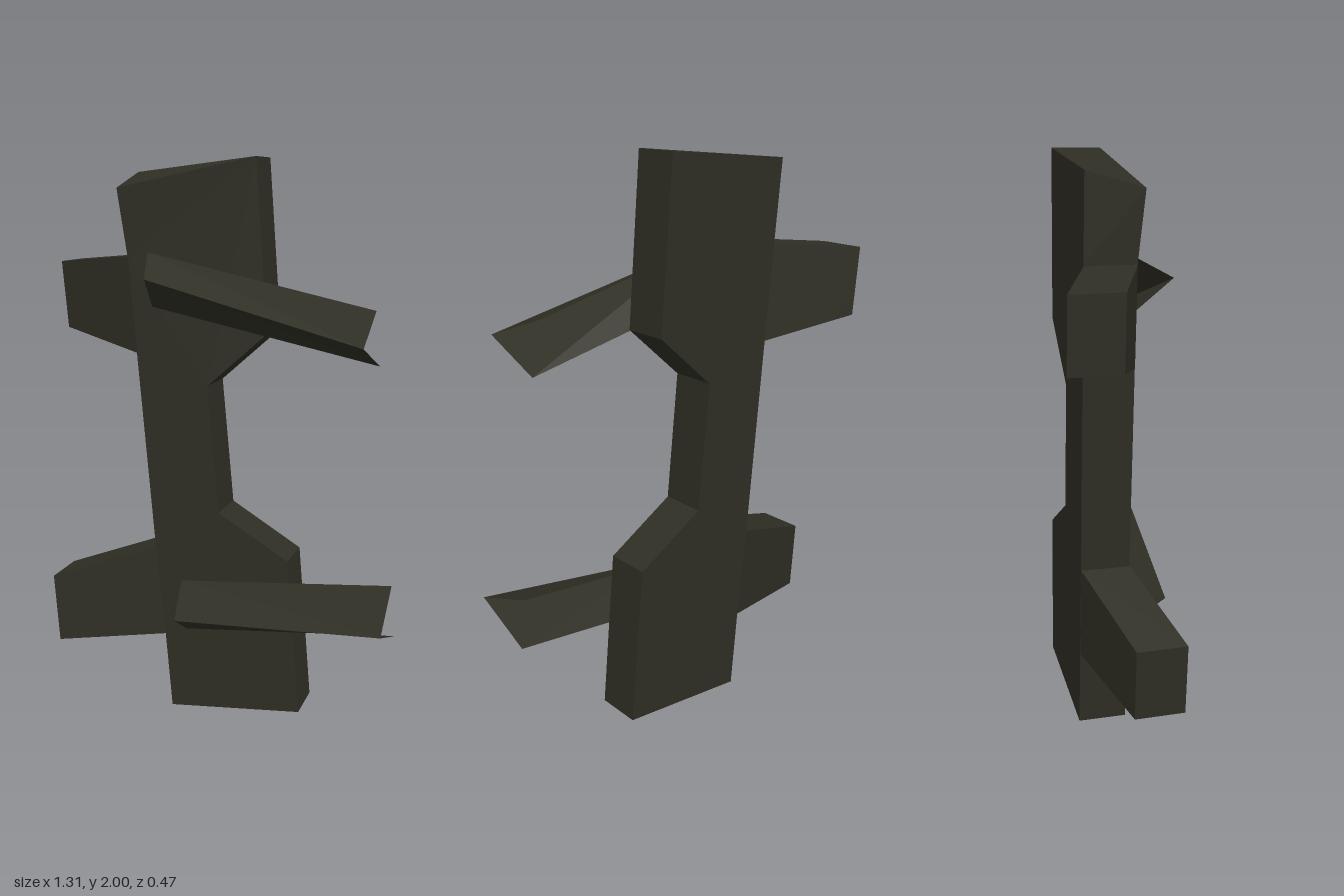
import * as THREE from 'three';

const darkOlive = new THREE.MeshStandardMaterial({ color: 0x2f2e24 });
darkOlive.name = 'darkOlive';
const darkOliveSheet = new THREE.MeshStandardMaterial({ color: 0x2f2e24, side: THREE.DoubleSide });
darkOliveSheet.name = 'darkOliveSheet';

// Front and back planes of the slightly turned plate
const across = (x, y) => x - (0.065 - 0.095 * y);
const frontZ = (x, y) => 0.017 - 0.07 * across(x, y);
const backZ = (x, y) => -0.15 - 0.06 * across(x, y);

function makeMesh(name, geometry, material = darkOlive) {
  geometry.computeVertexNormals();
  const mesh = new THREE.Mesh(geometry, material);
  mesh.name = name;
  return mesh;
}

// Upright plate with a narrow waist
function makeBody() {
  const outline = [
    [-0.18, 0.005], [0.305, 0.05], [0.255, 0.62], [0, 0.775], [-0.043, 1.23],
    [0.17, 1.42], [0.125, 2], [-0.36, 1.955], [-0.333, 1.67], [-0.303, 1.335],
    [-0.24, 0.625], [-0.205, 0.29],
  ].map(([x, y]) => new THREE.Vector2(x, y));
  const geometry = new THREE.ExtrudeGeometry(new THREE.Shape(outline), { depth: 1, bevelEnabled: false });
  const p = geometry.attributes.position;
  for (let i = 0; i < p.count; i++) {
    const x = p.getX(i), y = p.getY(i), front = p.getZ(i) > 0.5;
    // The top edge slopes forward at its right-hand corner
    const slopedCorner = front && x < -0.35 && y > 1.9;
    p.setXYZ(i, x + (front ? 0.004 : -0.004), slopedCorner ? 1.9 : y,
      slopedCorner ? 0.053 : (front ? frontZ(x, y) : backZ(x, y)));
  }
  return makeMesh('body', geometry);
}

// Tapered arm: root and tip are [x at top, y top, x at bottom, y bottom, z front, z back]
function makeArm(name, root, tip) {
  const geometry = new THREE.BoxGeometry(1, 1, 1);
  const p = geometry.attributes.position;
  for (let i = 0; i < p.count; i++) {
    const end = p.getX(i) > 0 ? root : tip;
    const k = p.getY(i) > 0 ? 0 : 2;
    const front = p.getZ(i) > 0;
    p.setXYZ(i, end[k] + (front ? 0.006 : -0.004), end[k + 1], front ? end[4] : end[5]);
  }
  return makeMesh(name, geometry);
}

// Open V-shaped blade; each end lists its top, crease and bottom points
function makeBlade(name, inner, outer) {
  const positions = [];
  for (let i = 0; i < 2; i++) {
    const [a, b, c, d] = [inner[i], inner[i + 1], outer[i + 1], outer[i]];
    positions.push(...a, ...b, ...c, ...a, ...c, ...d);
  }
  const geometry = new THREE.BufferGeometry();
  geometry.setAttribute('position', new THREE.Float32BufferAttribute(positions, 3));
  return makeMesh(name, geometry, darkOliveSheet);
}

export function createModel() {
  const model = new THREE.Group();
  model.name = 'bracket';
  model.add(
    makeBody(),
    // Upper arm bends back, lower arm bends forward
    makeArm('upperArm', [-0.333, 1.67, -0.303, 1.335, 0.035, -0.135], [-0.653, 1.64, -0.632, 1.4, -0.065, -0.235]),
    makeArm('lowerArm', [-0.24, 0.625, -0.205, 0.29, 0.036, -0.134], [-0.608, 0.5, -0.59, 0.25, 0.15, -0.02]),
    makeBlade('upperBlade',
      [[-0.25, 1.685, 0.038], [-0.195, 1.605, 0.183], [-0.235, 1.5, 0.038]],
      [[0.54, 1.51, -0.03], [0.565, 1.42, 0.225], [0.56, 1.33, -0.02]]),
    makeBlade('lowerBlade',
      [[-0.137, 0.505, 0.03], [-0.09, 0.42, 0.2], [-0.118, 0.32, 0.03]],
      [[0.628, 0.575, -0.02], [0.652, 0.488, 0.23], [0.645, 0.395, -0.015]]),
  );
  return model;
}
